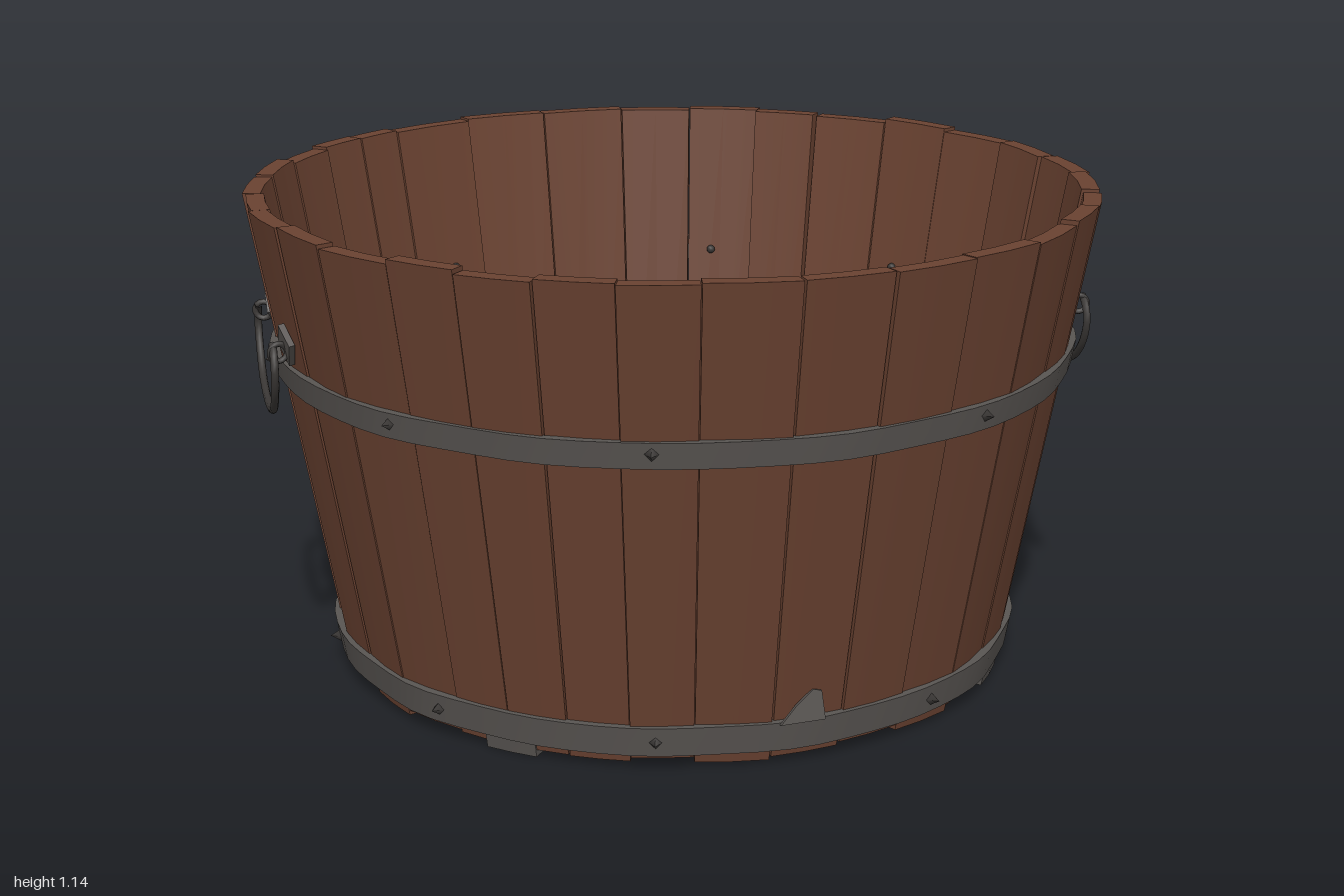
import * as THREE from 'three';

const mat = (name, color) => {
  const m = new THREE.MeshStandardMaterial({ color });
  m.name = name;
  return m;
};
const RAD = Math.PI / 180;
const HEIGHT = 1.14;
// Radius of the tapered outer wall at a given height
const wallR = (y) => 0.79 + 0.205 * (y / HEIGHT);

// Repeatable wobble between -1 and 1
const wobble = (i, k) => Math.sin(i * 12.9898 + k * 4.1414) * Math.cos(i * 3.7 + k * 1.3);

// A box bent around the tub: angles in degrees from the front towards +x
function bentPlate(a0, a1, y0, y1, out, thick, segs, tweak = () => 0) {
  const g = new THREE.BoxGeometry(1, 1, 1, segs, 1, 1);
  const p = g.attributes.position;
  for (let i = 0; i < p.count; i++) {
    const u = p.getX(i) + 0.5, v = p.getY(i) + 0.5, w = p.getZ(i) + 0.5;
    const a = (a0 + (a1 - a0) * u) * RAD;
    const y = y0 + (y1 - y0) * v;
    const r = wallR(y) + out - thick * (1 - w) + tweak(u, v);
    p.setXYZ(i, Math.sin(a) * r, y, Math.cos(a) * r);
  }
  g.computeVertexNormals();
  return g;
}

export function createModel() {
  const wood = mat('brown wood', 0x6a4231);
  const iron = mat('grey iron', 0x595552);
  const darkIron = mat('dark iron', 0x3b3836);
  const model = new THREE.Group();
  model.name = 'woodenTub';
  const add = (parent, name, geo, material) => {
    const m = new THREE.Mesh(geo, material);
    m.name = name;
    parent.add(m);
    return m;
  };

  // Staves of slightly uneven width, height and tilt
  const staves = new THREE.Group();
  staves.name = 'staves';
  model.add(staves);
  const seams = [2, 14, 26, 38, 50, 60, 71, 83, 95, 107, 119, 131, 143, 153, 164, 175, 188, 201,
    215, 223, 231.5, 242, 253, 264, 275, 286, 298, 310, 320, 330, 340, 350, 362];
  const wideGaps = [2, 264, 286];
  for (let i = 0; i < seams.length - 1; i++) {
    const a0 = seams[i] + (wideGaps.includes(seams[i]) ? 0.35 : 0.08);
    const sunk = seams[i] === 143 ? -0.022 : 0;
    const tilt = 0.007 * wobble(i, 1), shift = 0.004 * wobble(i, 2) + sunk;
    const top = HEIGHT - 0.006 + 0.006 * wobble(i, 3);
    const bottom = 0.016 + 0.009 * wobble(i, 4);
    add(staves, 'stave', bentPlate(a0, seams[i + 1] - 0.08, bottom, top, 0, 0.042, 2,
      (u, v) => shift * (0.4 + 0.6 * v) + tilt * (u - 0.5) * 2), wood);
  }

  // Floor boards cut to the round
  const floor = new THREE.Group();
  floor.name = 'floor';
  model.add(floor);
  const R = 0.765;
  const cuts = [-0.76, -0.63, -0.4, -0.24, 0, 0.165, 0.385, 0.59, 0.76];
  for (let i = 0; i < cuts.length - 1; i++) {
    const x0 = cuts[i] + 0.002, x1 = cuts[i + 1] - 0.002;
    const g = new THREE.BoxGeometry(1, 0.04, 1, 6, 1, 1);
    const p = g.attributes.position;
    for (let k = 0; k < p.count; k++) {
      const x = x0 + (x1 - x0) * (p.getX(k) + 0.5);
      p.setX(k, x);
      p.setZ(k, Math.sign(p.getZ(k)) * Math.sqrt(R * R - x * x));
    }
    g.computeVertexNormals();
    add(floor, 'floorBoard', g, wood).position.y = 0.06 + 0.003 * wobble(i, 5);
  }

  // Thin iron ring where the floor meets the wall
  add(model, 'floorRing', bentPlate(0, 360, 0.08, 0.105, -0.04, 0.018, 30,
    (u) => 0.005 * Math.sin(u * Math.PI * 14)), iron);

  // Hammered hoops; the upper one is broken at the back
  const dents = (u) => 0.003 * Math.sin(u * Math.PI * 22) + 0.002 * Math.sin(u * Math.PI * 34);
  add(model, 'lowerHoop', bentPlate(0, 360, 0.035, 0.105, 0.015, 0.022, 72, dents), iron);
  add(model, 'upperHoop', bentPlate(197.5, 551.5, 0.73, 0.79, 0.015, 0.022, 72, dents), iron);

  // Small repair plates along the bottom edge
  for (const [a, w] of [[57, 10], [147, 8], [268, 7], [320, 9]]) {
    add(model, 'bottomPlate', bentPlate(a - w / 2, a + w / 2, 0, 0.034, 0.006, 0.052, 2), iron);
  }

  // Bent patch above the lower hoop at the front
  const patchShape = new THREE.Shape([[-0.06, -0.03], [0.045, -0.03], [0.04, 0.035], [0.02, 0.04], [-0.02, 0.01]]
    .map(([x, y]) => new THREE.Vector2(x, y)));
  const patch = add(model, 'patch',
    new THREE.ExtrudeGeometry(patchShape, { depth: 0.009, bevelEnabled: false }), iron);
  patch.position.set(0.1, 0.132, 0.816);
  patch.rotation.set(-0.18, 0.12, 0, 'YXZ');

  // Nails through both hoops, with tips showing inside
  const head = new THREE.ConeGeometry(0.016, 0.026, 4).rotateX(Math.PI / 2);
  const tip = new THREE.SphereGeometry(0.011, 8, 6);
  for (const y of [0.07, 0.765]) {
    for (const a of [32, 90, 126, 160, 207, 244, 270, 307, 344]) {
      const nail = new THREE.Group();
      nail.name = 'nail';
      nail.rotation.y = a * RAD;
      model.add(nail);
      add(nail, 'nailHead', head, darkIron).position.set(0, y, wallR(y) + 0.026);
      if (y > 0.5) add(nail, 'nailTip', tip, darkIron).position.set(0, y, wallR(y) - 0.046);
    }
  }

  // Hanging bail handles with diamond mounting plates on both sides
  const bail = new THREE.CatmullRomCurve3([[0.185, 0.85], [0.205, 0.835], [0.222, 0.8], [0.205, 0.745],
    [0.15, 0.69], [0.075, 0.667], [0, 0.66]].map(([z, y]) => new THREE.Vector3(0, y, z)));
  const half = bail.points;
  const full = new THREE.CatmullRomCurve3([
    ...half, ...half.slice(0, -1).reverse().map((p) => new THREE.Vector3(0, p.y, -p.z))]);
  const rod = new THREE.TubeGeometry(full, 40, 0.009, 8);
  for (const side of [1, -1]) {
    const handle = new THREE.Group();
    handle.name = side > 0 ? 'leftHandle' : 'rightHandle';
    handle.rotation.y = side > 0 ? 0 : Math.PI;
    model.add(handle);
    add(handle, 'handleRod', rod, darkIron).position.x = 0.962;
    for (const s of [1, -1]) {
      const mount = new THREE.Group();
      mount.name = 'handleMount';
      mount.position.set(0.931, 0.848, s * 0.19);
      mount.rotation.set(0, -s * 0.2, -0.18);
      handle.add(mount);
      add(mount, 'mountPlate', new THREE.BoxGeometry(0.014, 0.068, 0.068), iron).rotation.x = s * 0.6;
      const eye = add(mount, 'mountEye', new THREE.TorusGeometry(0.02, 0.007, 6, 14), darkIron);
      eye.position.set(0.022, -0.012, 0);
    }
  }
  return model;
}
